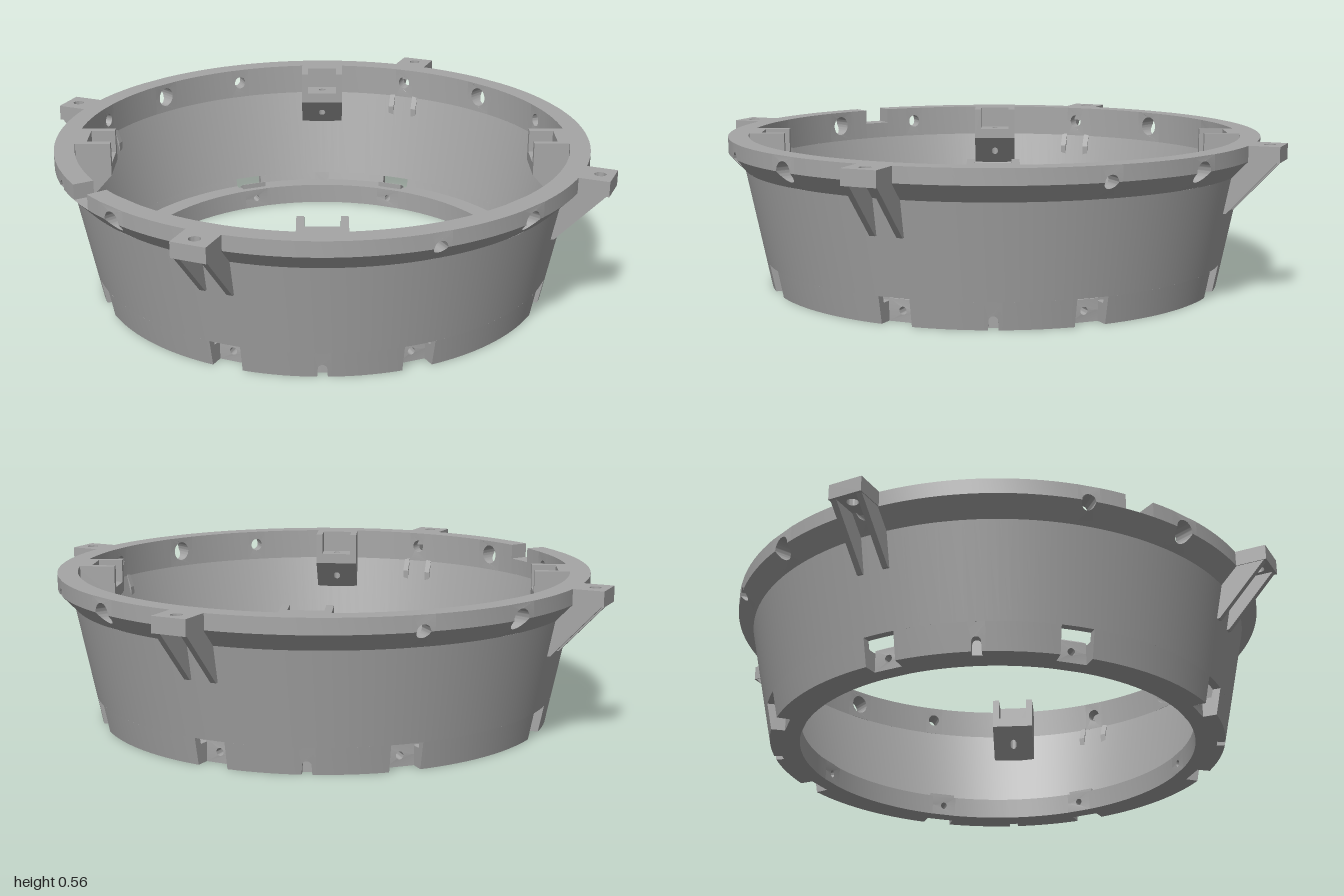
import * as THREE from 'three';
import { mergeGeometries, toCreasedNormals } from 'three/addons/utils/BufferGeometryUtils.js';

const RAD = Math.PI / 180;
const TURN = Math.PI * 2;
const V = (pts) => pts.map(([x, y]) => new THREE.Vector2(x, y));

// Key heights and wall radii
const FLARE = 0.445, MID = 0.508, TOP = 0.565;
const wallOut = (y) => 0.85 + 0.09 * y / FLARE;
const wallIn = (y) => 0.835 + 0.09 * (y - 0.07) / (FLARE - 0.07);
const rimOut = (y) => Math.min(1, 0.94 + 0.06 * (y - FLARE) / (MID - FLARE));
const rimIn = () => 0.925;

const finish = (geo) => toCreasedNormals(geo, 0.5);

// Closed counter-clockwise profile (radius, y) swept between two angles, with end caps
function arc(profile, a0, a1, capped = true) {
  const pts = V([...profile, profile[0]]);
  const seg = Math.max(2, Math.ceil((a1 - a0) / TURN * 144));
  const parts = [new THREE.LatheGeometry(pts, seg, a0, a1 - a0)];
  if (capped) {
    const start = new THREE.ShapeGeometry(new THREE.Shape(V(profile)));
    const end = start.clone();
    end.index.array.reverse();
    parts.push(start.rotateY(a0 - Math.PI / 2), end.rotateY(a1 - Math.PI / 2));
  }
  return finish(mergeGeometries(parts));
}

// Sweeps a profile round the ring, leaving out gaps given as [angle, half angle]
function ringWithGaps(profile, gaps) {
  const list = gaps.map(([a, h]) => [((a % TURN) + TURN) % TURN, h]).sort((p, q) => p[0] - q[0]);
  return mergeGeometries(list.map(([a, h], i) => {
    const next = list[(i + 1) % list.length];
    const end = next[0] + (i === list.length - 1 ? TURN : 0) - next[1];
    return arc(profile, a + h, end);
  }));
}

// Bends a flat shape (tangent, y) round the ring, between an inner and an outer radius
function wrap(shape, angle, R, rIn, rOut) {
  const geo = new THREE.ExtrudeGeometry(shape, { depth: 1, bevelEnabled: false, curveSegments: 16 });
  const p = geo.attributes.position;
  for (let i = 0; i < p.count; i++) {
    const y = p.getY(i), a = angle + p.getX(i) / R;
    const r = p.getZ(i) > 0.5 ? rOut(y) : rIn(y);
    p.setXYZ(i, r * Math.sin(a), y, r * Math.cos(a));
  }
  return finish(geo);
}

// Wall patch with a round radial hole, made as a lower and an upper half
function holePatch(angle, R, h, [y0, yc, y1], hr, rIn, rOut) {
  const low = new THREE.Shape(V([[-h, y0], [h, y0], [h, yc], [hr, yc]]));
  low.absarc(0, yc, hr, 0, -Math.PI, true);
  low.lineTo(-h, yc);
  const high = new THREE.Shape(V([[-h, y1], [-h, yc], [-hr, yc]]));
  high.absarc(0, yc, hr, Math.PI, 0, true);
  high.lineTo(h, yc);
  high.lineTo(h, y1);
  return mergeGeometries([low, high].map((s) => wrap(s, angle, R, rIn, rOut)));
}

// Plate cut from a side outline (radius, y), centred on tangent position x
function sidePlate(outline, x, thick) {
  const geo = new THREE.ExtrudeGeometry(new THREE.Shape(V(outline)), { depth: thick, bevelEnabled: false });
  return geo.translate(0, 0, -thick / 2).rotateY(-Math.PI / 2).translate(x, 0, 0);
}

// Horizontal plate with a vertical hole; bottom(r) gives the underside height
function drilledPlate(w, r0, r1, holeR, radius, top, bottom) {
  const s = new THREE.Shape(V([[-w, -r1], [w, -r1], [w, -r0], [-w, -r0]]));
  s.holes.push(new THREE.Path().absarc(0, -holeR, radius, 0, TURN, true));
  const geo = new THREE.ExtrudeGeometry(s, { depth: 1, bevelEnabled: false, curveSegments: 16 });
  geo.rotateX(-Math.PI / 2);
  const p = geo.attributes.position;
  for (let i = 0; i < p.count; i++) p.setY(i, p.getY(i) > 0.5 ? top : bottom(p.getZ(i)));
  return finish(geo);
}

export function createModel() {
  const model = new THREE.Group();
  const grey = new THREE.MeshStandardMaterial({ color: 0xa6a6a6 });
  grey.name = 'grey';
  const add = (name, geo, parent = model) => {
    const mesh = new THREE.Mesh(geo, grey);
    mesh.name = name;
    parent.add(mesh);
  };
  const eighths = [...Array(8).keys()].map((k) => k * 45 * RAD);
  const quarters = (start) => [0, 1, 2, 3].map((k) => (start + 90 * k) * RAD);
  const padAngles = quarters(-22.5), bigAngles = quarters(22.5), earAngles = quarters(45);

  // Base flange with clip windows and small arched drains
  const winR = 0.83, winH = 0.055, archR = 0.85, archH = 0.03;
  add('baseFlange', ringWithGaps(
    [[0.74, 0], [0.85, 0], [wallOut(0.1), 0.1], [wallIn(0.1), 0.1], [0.835, 0.07], [0.79, 0.07], [0.79, 0.08], [0.74, 0.08]],
    [...eighths.map((a) => [a, winH / winR]), ...padAngles.map((a) => [a, archH / archR])]));

  for (const a of eighths) {
    add('clipTab', holePatch(a, winR, winH, [0, 0.04, 0.08], 0.014, () => 0.74, () => 0.8));
    const ridge = new THREE.Shape(V([[-winH, 0.08], [winH, 0.08], [winH, 0.1], [-winH, 0.1]]));
    add('clipRidge', wrap(ridge, a, winR, () => 0.765, (y) => 0.8 - 1.6 * (y - 0.08)));
  }

  for (const a of padAngles) {
    const h = archH / archR;
    add('drainBack', arc([[0.74, 0], [0.82, 0], [0.82, 0.07], [0.79, 0.07], [0.79, 0.08], [0.74, 0.08]], a - h, a + h));
    const arch = new THREE.Shape(V([[-archH, 0.1], [-archH, 0], [-0.018, 0], [-0.016, 0.032]]));
    arch.absarc(0, 0.034, 0.016, Math.PI, 0, true);
    [[0.018, 0], [archH, 0], [archH, 0.1]].forEach(([x, y]) => arch.lineTo(x, y));
    add('drainArch', wrap(arch, a, archR, (y) => 0.82 + 0.22 * y, wallOut));
  }

  // Tapered wall
  add('taperedWall', arc([[wallIn(0.1), 0.1], [wallOut(0.1), 0.1], [0.94, FLARE], [0.925, FLARE]], 0, TURN, false));

  // Rim with radial holes and one open notch
  const smallH = 0.04, bigH = 0.06, notch = [-79 * RAD, 3.2 * RAD];
  add('rim', ringWithGaps(
    [[0.925, FLARE], [0.94, FLARE], [1, MID], [1, TOP], [0.925, TOP]],
    [...eighths.map((a) => [a, smallH]), ...bigAngles.map((a) => [a, bigH]), notch]));
  add('rimNotch', arc([[0.925, FLARE], [0.94, FLARE], [1, MID], [0.925, MID]],
    notch[0] - notch[1], notch[0] + notch[1]));
  const rimYs = [FLARE, MID, TOP];
  for (const a of eighths) add('smallRimHole', holePatch(a, 1, smallH, rimYs, 0.025, rimIn, rimOut));
  for (const a of bigAngles) add('largeRimHole', holePatch(a, 1, bigH, rimYs, 0.038, rimIn, rimOut));

  // Inner pockets: cheeks, back and a drilled floor with a sloping underside
  const slope = (r) => 0.44 - 1.14 * (r - 0.79);
  for (const a of padAngles) {
    const pad = new THREE.Group();
    pad.name = 'innerPocket';
    pad.rotation.y = a;
    const cheek = [[0.79, slope(0.79)], [0.895, slope(0.895)], [0.938, 0.46], [0.938, TOP], [0.79, TOP]];
    for (const s of [-1, 1]) add('pocketCheek', sidePlate(cheek, s * 0.073, 0.026), pad);
    add('pocketBack', sidePlate([[0.88, slope(0.88)], [0.895, slope(0.895)], [0.938, 0.46], [0.938, TOP], [0.88, TOP]], 0, 0.12), pad);
    add('pocketFloor', drilledPlate(0.06, 0.79, 0.88, 0.845, 0.014, 0.48, slope), pad);
    model.add(pad);
  }

  // Outer mounting ears, each on two ribs
  for (const a of earAngles) {
    const ear = new THREE.Group();
    ear.name = 'mountingEar';
    ear.rotation.y = a;
    add('earPlate', drilledPlate(0.064, 0.975, 1.11, 1.06, 0.021, TOP, () => MID), ear);
    const rib = [[0.905, 0.315], [0.922, 0.315], [1.1, MID], [0.945, MID], [0.905, 0.4]];
    for (const s of [-1, 1]) add('earRib', sidePlate(rib, s * 0.05, 0.022), ear);
    model.add(ear);
  }
  return model;
}
